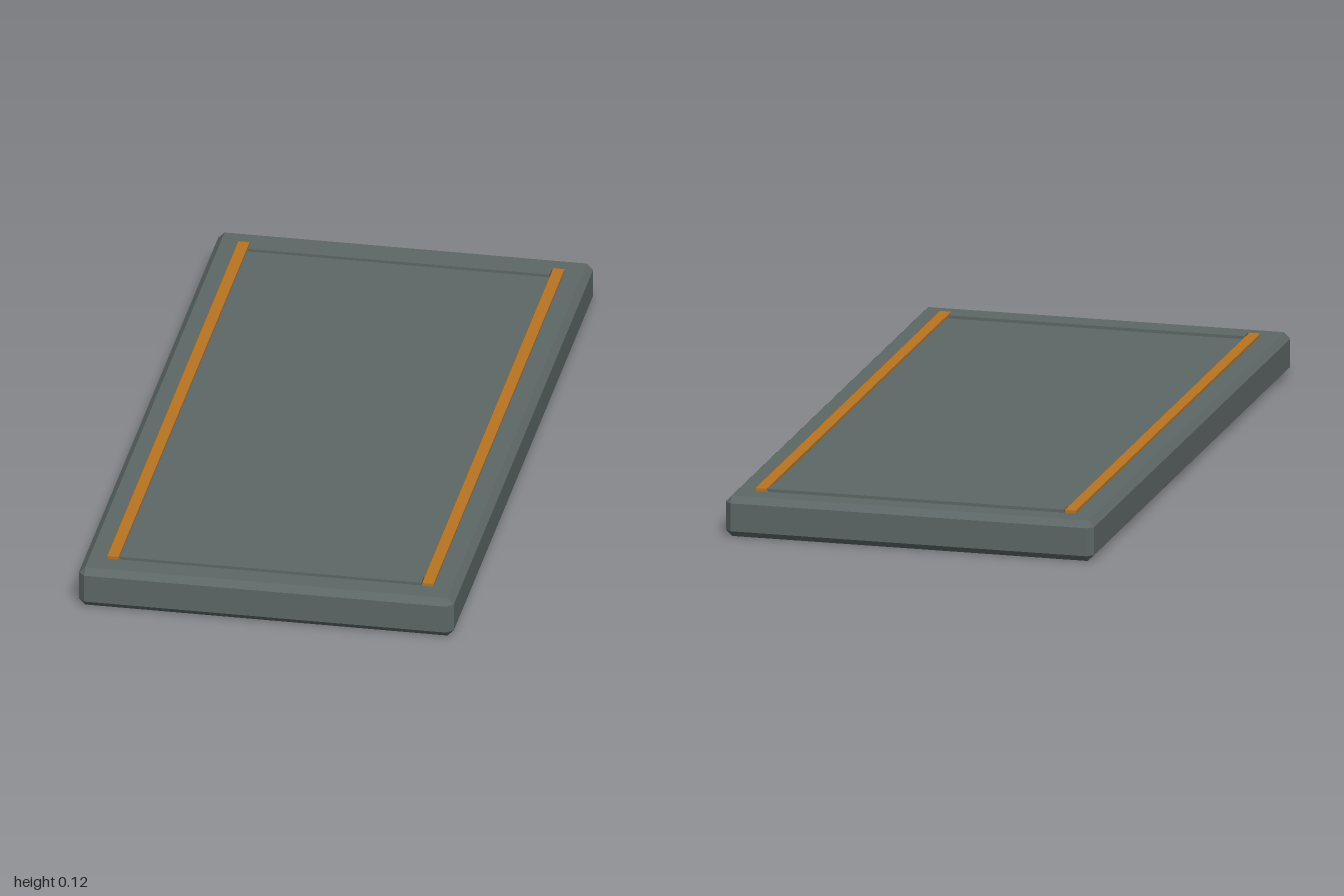
import * as THREE from 'three';
import { ConvexGeometry } from 'three/addons/geometries/ConvexGeometry.js';

const W = 1, H = 0.11, D = 2, CHAMFER = 0.017;

// Box with every edge and corner cut flat, standing on y = 0
function chamferedBox(w, h, d, c) {
  const points = [];
  for (const sx of [-1, 1]) for (const sy of [-1, 1]) for (const sz of [-1, 1]) {
    for (let axis = 0; axis < 3; axis++) {
      const cut = [c, c, c];
      cut[axis] = 0;
      points.push(new THREE.Vector3(
        sx * (w / 2 - cut[0]),
        h / 2 + sy * (h / 2 - cut[1]),
        sz * (d / 2 - cut[2])
      ));
    }
  }
  return new ConvexGeometry(points);
}

export function createModel() {
  const group = new THREE.Group();
  group.name = 'floorPanel';

  const slate = new THREE.MeshStandardMaterial({ color: 0x5d6766 });
  slate.name = 'slate grey';
  const amber = new THREE.MeshStandardMaterial({ color: 0xb8741f });
  amber.name = 'amber';

  function add(name, geometry, material, x = 0, y = 0, z = 0) {
    const mesh = new THREE.Mesh(geometry, material);
    mesh.name = name;
    mesh.position.set(x, y, z);
    group.add(mesh);
  }

  // Main slab
  add('slab', chamferedBox(W, H, D, CHAMFER), slate);

  // Raised trim: amber strips along the sides, plain strips across the ends
  const rise = 0.008;
  const y = H + rise / 2;
  const sideStrip = new THREE.BoxGeometry(0.03, rise, 1.85);
  const endStrip = new THREE.BoxGeometry(0.804, rise, 0.037);
  for (const s of [1, -1]) {
    add(s > 0 ? 'leftStrip' : 'rightStrip', sideStrip, amber, s * 0.42, y, 0);
    add(s > 0 ? 'frontStrip' : 'backStrip', endStrip, slate, 0, y, s * 0.905);
  }

  return group;
}
